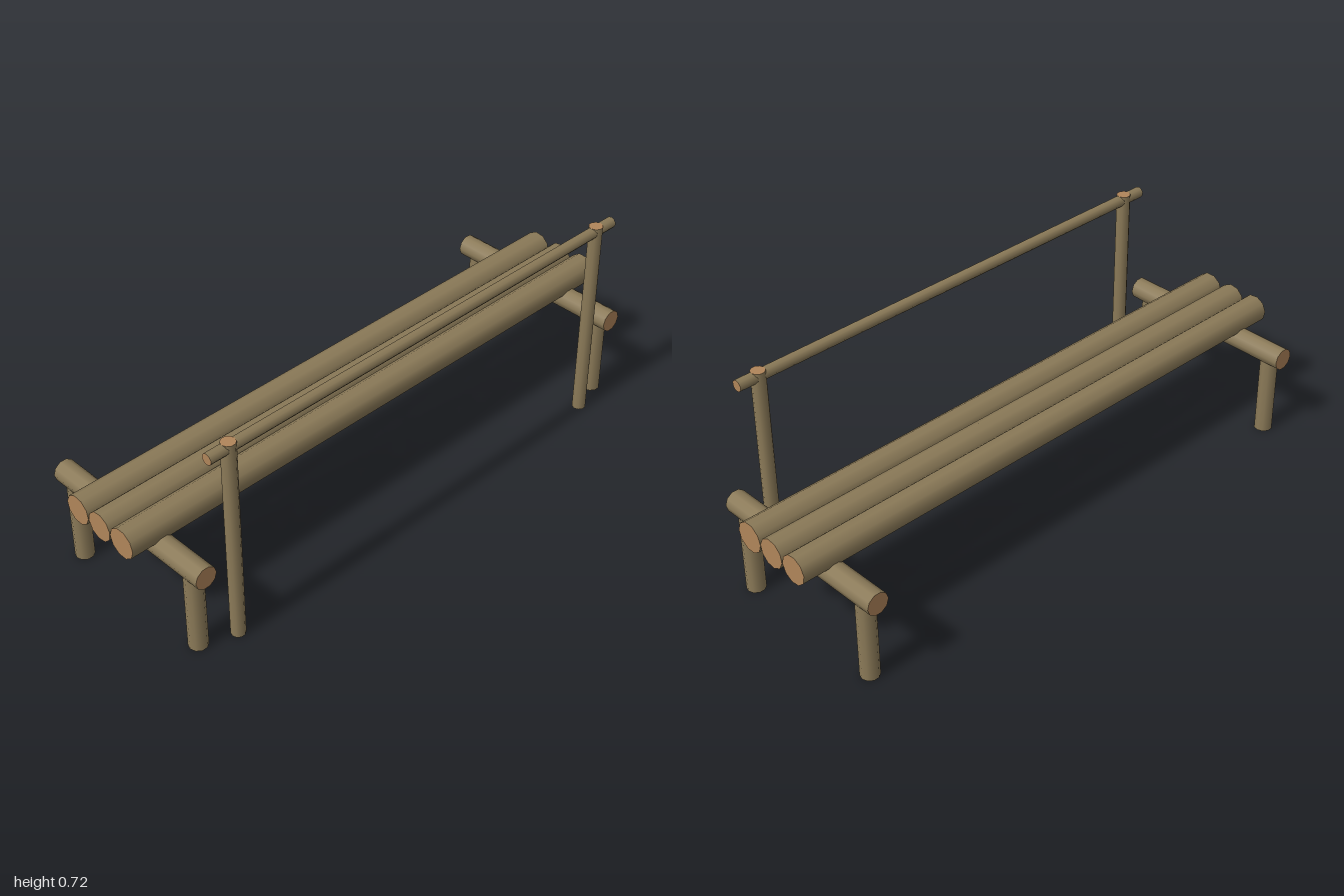
import * as THREE from 'three';

export function createModel() {
  const bark = new THREE.MeshStandardMaterial({ color: 0x8b7a58 });
  bark.name = 'bark';
  const cutWood = new THREE.MeshStandardMaterial({ color: 0xb0855a });
  cutWood.name = 'cut wood';

  const group = new THREE.Group();
  group.name = 'logBench';

  // A round log along one axis, with bark sides and cut ends
  function log(name, axis, radius, length, x, y, z, turn = 0) {
    const geo = new THREE.CylinderGeometry(radius, radius, length, 10);
    geo.rotateY(turn);
    if (axis === 'x') geo.rotateZ(Math.PI / 2);
    if (axis === 'z') geo.rotateX(Math.PI / 2);
    const mesh = new THREE.Mesh(geo, [bark, cutWood, cutWood]);
    mesh.name = name;
    mesh.position.set(x, y, z);
    group.add(mesh);
  }

  // Three long seat logs, each turned a little differently
  log('seatLogRight', 'z', 0.049, 2, -0.107, 0.354, 0, 0.2);
  log('seatLogMiddle', 'z', 0.049, 2, -0.007, 0.354, 0, 0.45);
  log('seatLogLeft', 'z', 0.051, 2, 0.093, 0.355, 0, Math.PI / 2);

  // Cross beams, legs and rail posts at both ends
  for (const side of [1, -1]) {
    const end = side > 0 ? 'Front' : 'Back';
    log('crossBeam' + end, 'x', 0.038, 0.653, -0.0065, 0.301, side * 0.885);
    log('legRight' + end, 'y', 0.031, 0.285, -0.276, 0.1425, side * 0.885);
    log('legLeft' + end, 'y', 0.031, 0.285, 0.262, 0.1425, side * 0.885);
    log('railPost' + end, 'y', 0.0235, 0.72, 0.307, 0.36, side * 0.77);
  }

  // Long thin rail along one side
  log('rail', 'z', 0.019, 1.694, 0.307, 0.701, 0);

  return group;
}
